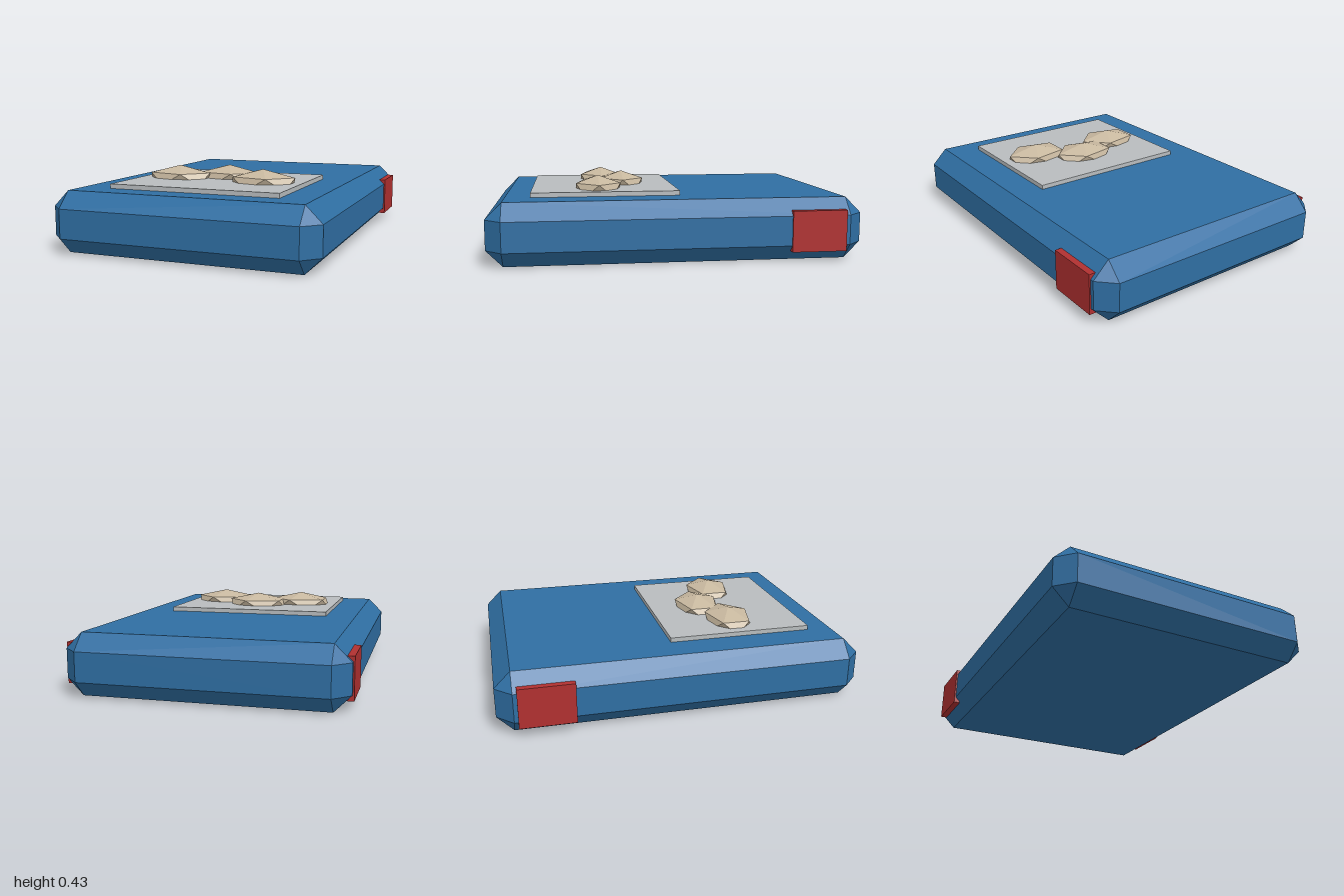
import * as THREE from 'three';
import { ConvexGeometry } from 'three/addons/geometries/ConvexGeometry.js';

function material(name, color) {
  const m = new THREE.MeshStandardMaterial({ color });
  m.name = name;
  return m;
}

// Box with every edge cut at 45 degrees and triangular corners
function chamferedBox(x, y, z, c) {
  const points = [];
  for (const sx of [-1, 1]) for (const sy of [-1, 1]) for (const sz of [-1, 1]) {
    points.push(
      new THREE.Vector3(sx * x, sy * (y - c), sz * (z - c)),
      new THREE.Vector3(sx * (x - c), sy * y, sz * (z - c)),
      new THREE.Vector3(sx * (x - c), sy * (y - c), sz * z)
    );
  }
  return new ConvexGeometry(points);
}

export function createModel() {
  const model = new THREE.Group();
  const blue = material('blue', 0x2f6ea2);
  const red = material('red', 0xb03030);
  const grey = material('grey', 0xb8bcbe);
  const tan = material('tan', 0xc8b89f);

  function add(name, geometry, mat, x, y, z) {
    const mesh = new THREE.Mesh(geometry, mat);
    mesh.name = name;
    mesh.position.set(x, y, z);
    model.add(mesh);
  }

  // Flat chamfered case
  add('body', chamferedBox(0.74, 0.1675, 1, 0.088), blue, 0, 0.1675, 0);

  // Label plate on the top
  add('plate', new THREE.BoxGeometry(0.96, 0.025, 0.81), grey, 0, 0.3475, 0.37);

  // Side tabs near the back
  for (const s of [-1, 1]) {
    add(s > 0 ? 'leftTab' : 'rightTab', new THREE.BoxGeometry(0.036, 0.22, 0.296), red, s * 0.73, 0.165, -0.743);
  }

  // Faceted nuggets, half sunk in the plate, each with one vertex straight up
  const nugget = new THREE.IcosahedronGeometry(1, 0);
  nugget.rotateZ(-Math.atan(2 / (1 + Math.sqrt(5))));
  nugget.scale(0.206, 0.073, 0.147);
  [[-0.26, 0.368], [0, 0.256], [0.26, 0.405]].forEach(([x, z], i) => {
    add('nugget' + (i + 1), nugget, tan, x, 0.358, z);
  });

  return model;
}
